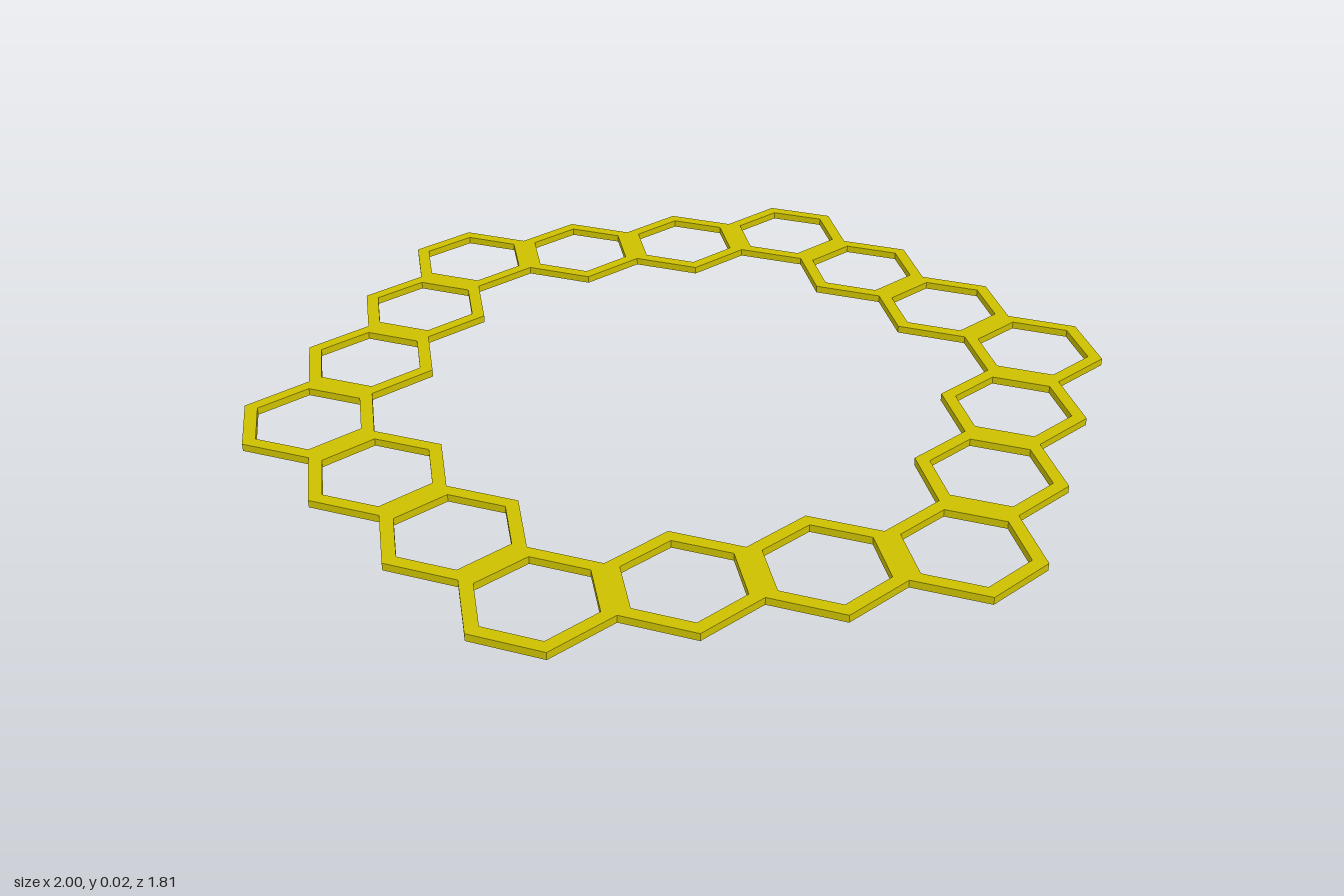
import * as THREE from 'three';

const APOTHEM = 1 / 7;                       // seven cells span the full width
const RADIUS = APOTHEM * 2 / Math.sqrt(3);
const HOLE = RADIUS * 0.8;
const HEIGHT = 0.0175;
const RING = 3;                              // cells from the centre to the ring

// Corners of a hexagon with points towards +y and -y
function hexPoints(radius) {
  return Array.from({ length: 6 }, (_, i) => {
    const a = Math.PI / 6 + i * Math.PI / 3;
    return new THREE.Vector2(radius * Math.cos(a), radius * Math.sin(a));
  });
}

export function createModel() {
  const group = new THREE.Group();
  group.name = 'hexagonRing';
  const material = new THREE.MeshStandardMaterial({ color: 0xccc000, flatShading: true });

  // One hollow hexagonal frame, laid flat on the ground
  const shape = new THREE.Shape(hexPoints(RADIUS));
  shape.holes.push(new THREE.Path(hexPoints(HOLE).reverse()));
  const frame = new THREE.ExtrudeGeometry(shape, { depth: HEIGHT, bevelEnabled: false });
  frame.rotateX(-Math.PI / 2);

  // Frames along the six sides of a large hexagon
  for (let side = 0; side < 6; side++) {
    const corner = k => new THREE.Vector3(
      Math.cos(k * Math.PI / 3), 0, Math.sin(k * Math.PI / 3)
    ).multiplyScalar(RING * 2 * APOTHEM);
    for (let step = 0; step < RING; step++) {
      const cell = new THREE.Mesh(frame, material);
      cell.name = `hexagonFrame${side * RING + step + 1}`;
      cell.position.lerpVectors(corner(side), corner(side + 1), step / RING);
      group.add(cell);
    }
  }
  return group;
}
